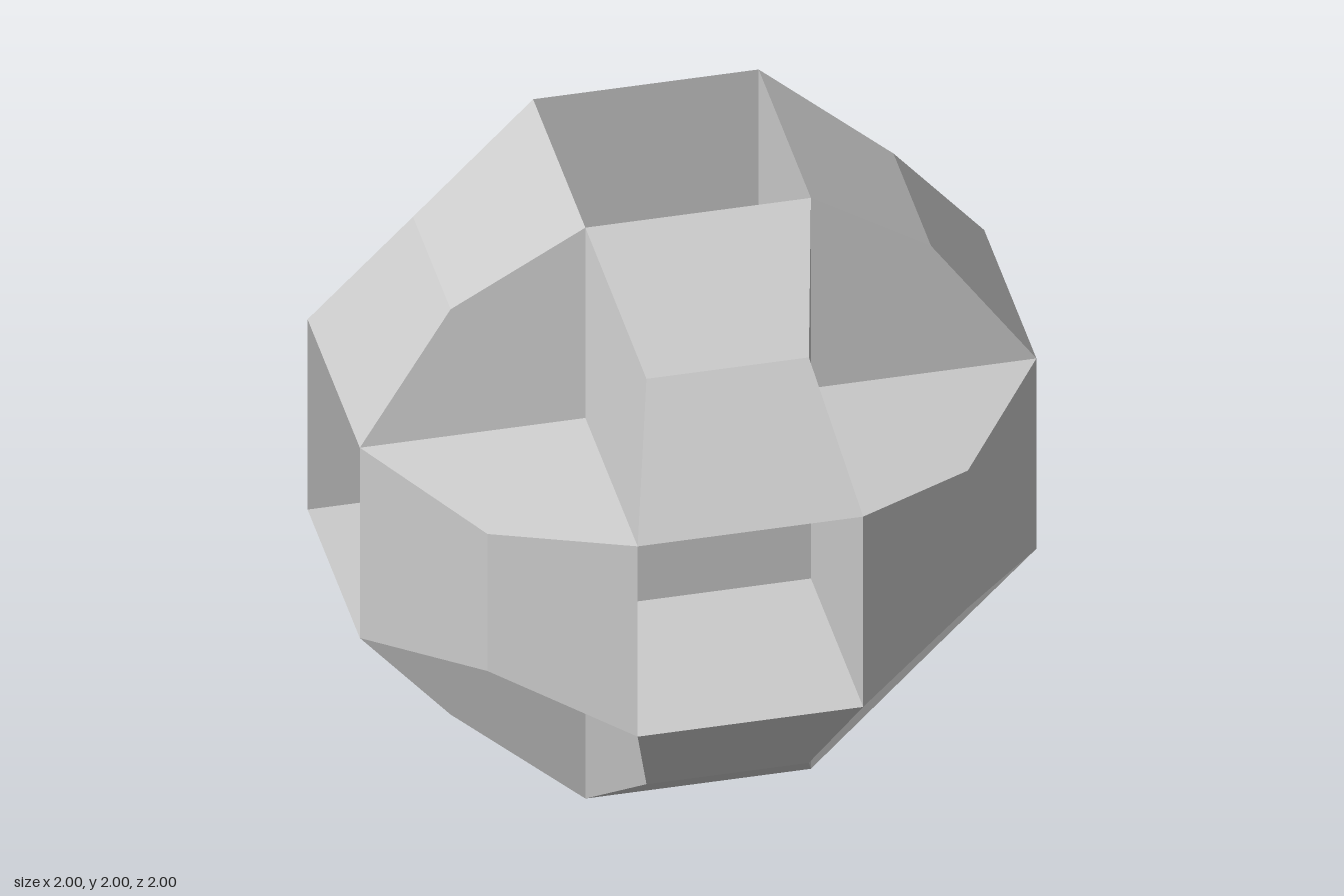
import * as THREE from 'three';

const A = 1 / 3;    // half width of the core
const M = 0.71;     // ridge distance from the bar's axis planes
const W = 0.24;     // half length of the pinched ridge

// Bar along x on the +y +z edge: four-sided section with an outer ridge pinched shorter
function barGeometry() {
  const section = [[A, A, A], [A, 1, A], [W, M, M], [A, A, 1]];
  const point = (i, side) => {
    const [x, y, z] = section[i % 4];
    return new THREE.Vector3(side * x, y, z);
  };
  const positions = [], normals = [];
  const quad = (a, b, c, d) => {
    // one normal per quad keeps each face evenly flat
    const n = c.clone().sub(a).cross(d.clone().sub(b)).normalize();
    for (const p of [a, b, c, a, c, d]) {
      positions.push(p.x, p.y, p.z);
      normals.push(n.x, n.y, n.z);
    }
  };
  for (let i = 0; i < 4; i++) {
    quad(point(i, -1), point(i + 1, -1), point(i + 1, 1), point(i, 1));
  }
  quad(...[0, 1, 2, 3].map(i => point(i, 1)));
  quad(...[0, 3, 2, 1].map(i => point(i, -1)));

  const geometry = new THREE.BufferGeometry();
  geometry.setAttribute('position', new THREE.Float32BufferAttribute(positions, 3));
  geometry.setAttribute('normal', new THREE.Float32BufferAttribute(normals, 3));
  return geometry;
}

export function createModel() {
  const model = new THREE.Group();
  model.name = 'facetedBall';
  const material = new THREE.MeshStandardMaterial({ color: 0xcccccc });

  // Solid cube at the middle, forming the floors of the six recesses
  const core = new THREE.Mesh(new THREE.BoxGeometry(2 * A, 2 * A, 2 * A), material);
  core.name = 'core';
  core.position.y = 1;
  model.add(core);

  // Twelve edge bars, four along each axis
  const geometry = barGeometry();
  const turns = { X: [0, 0, 0], Y: [0, 0, Math.PI / 2], Z: [0, Math.PI / 2, 0] };
  for (const [axis, turn] of Object.entries(turns)) {
    const bars = new THREE.Group();
    bars.name = `edgeBars${axis}`;
    bars.position.y = 1;
    bars.rotation.set(...turn);
    for (let i = 0; i < 4; i++) {
      const bar = new THREE.Mesh(geometry, material);
      bar.name = `edgeBar${axis}${i + 1}`;
      bar.rotation.x = i * Math.PI / 2;
      bars.add(bar);
    }
    model.add(bars);
  }
  return model;
}
